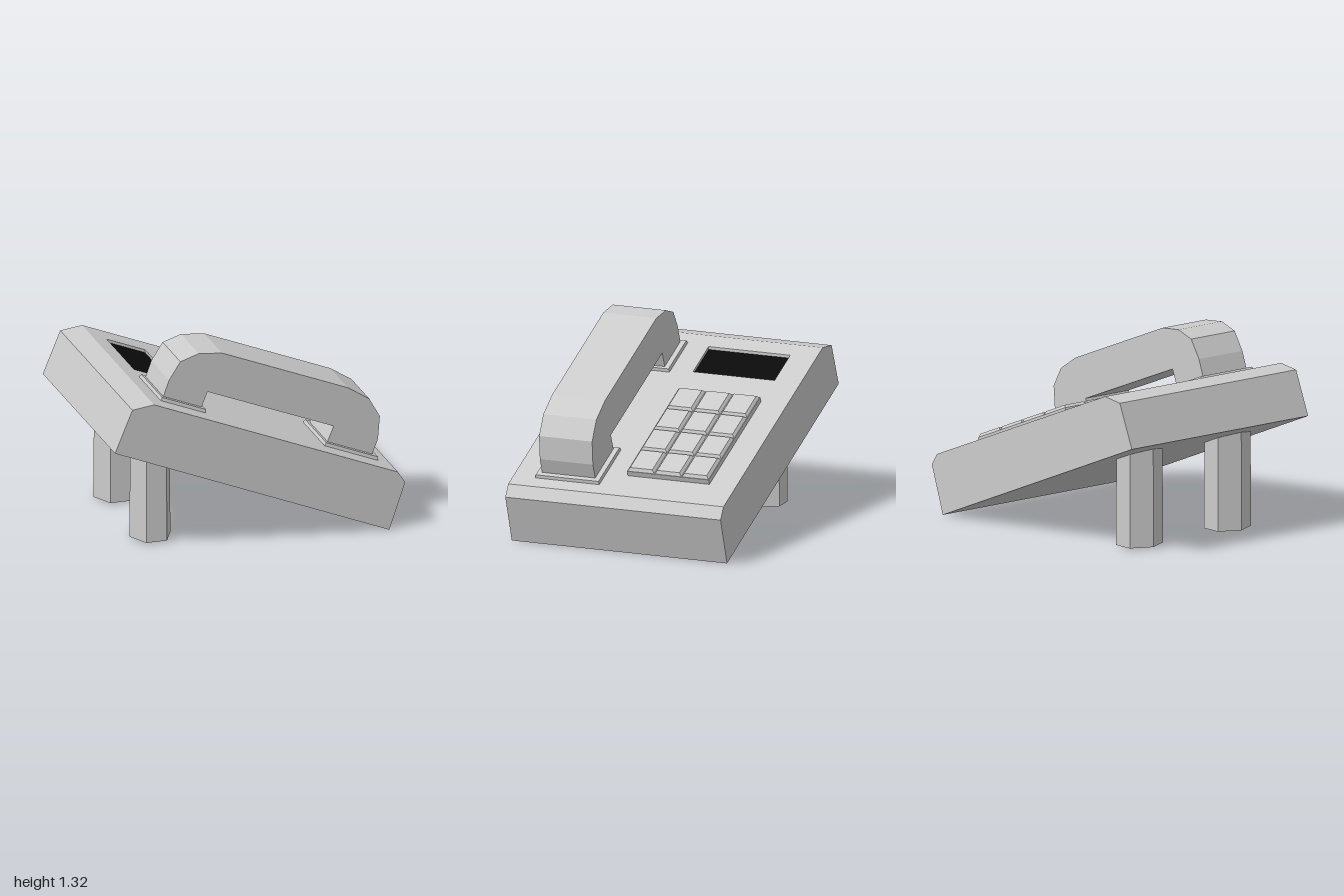
import * as THREE from 'three';

const grey = new THREE.MeshStandardMaterial({ color: 0xcccccc, flatShading: true });
const black = new THREE.MeshStandardMaterial({ color: 0x0a0a0a, flatShading: true });
const TILT = Math.atan(0.4);

// Side profile in x/y, extruded between two z values
function prism(name, points, z0, z1, material = grey) {
  const shape = new THREE.Shape(points.map(([x, y]) => new THREE.Vector2(x, y)));
  const geometry = new THREE.ExtrudeGeometry(shape, { depth: z1 - z0, bevelEnabled: false });
  geometry.translate(0, 0, z0);
  const mesh = new THREE.Mesh(geometry, material);
  mesh.name = name;
  return mesh;
}

// Box standing on y = 0 whose top is drawn in by an inset
function taperedBox(name, w, h, d, inset) {
  const geometry = new THREE.BoxGeometry(w, h, d).translate(0, h / 2, 0);
  const p = geometry.attributes.position;
  for (let i = 0; i < p.count; i++) {
    if (p.getY(i) < h / 2) continue;
    p.setX(i, p.getX(i) - Math.sign(p.getX(i)) * inset);
    p.setZ(i, p.getZ(i) - Math.sign(p.getZ(i)) * inset);
  }
  geometry.computeVertexNormals();
  const mesh = new THREE.Mesh(geometry, grey);
  mesh.name = name;
  return mesh;
}

export function createModel() {
  const phone = new THREE.Group();
  phone.name = 'deskPhone';

  // Sloping body, with a notch in the middle slice for the display
  const start = [[-1, 0.76], [0.89, 0], [1, 0.32], [0.95, 0.398]];
  const end = [[-0.73, 1.07], [-0.88, 1.05]];
  const notch = [[-0.355, 0.92], [-0.355, 0.898], [-0.62, 1.004], [-0.62, 1.026]];
  const body = new THREE.Group();
  body.name = 'body';
  body.add(
    prism('bodyBack', [...start, ...end], -0.765, -0.58),
    prism('bodyMiddle', [...start, ...notch, ...end], -0.58, 0),
    prism('bodyFront', [...start, ...end], 0, 0.765)
  );
  phone.add(body);
  phone.add(prism('display',
    [[-0.62, 0.998], [-0.355, 0.892], [-0.355, 0.9], [-0.62, 1.006]], -0.58, 0, black));

  // Handset: a thick arch lying along the slope
  phone.add(prism('handset', [
    [-0.62, 1.0], [-0.36, 0.89], [-0.3, 1.04], [0.57, 0.695], [0.51, 0.55], [0.82, 0.43],
    [0.875, 0.567], [0.888, 0.727], [0.815, 0.858], [0.67, 0.952], [-0.2, 1.3],
    [-0.36, 1.315], [-0.487, 1.273], [-0.565, 1.152]
  ], 0.195, 0.572));

  // Everything that sits on the slope
  const deck = new THREE.Group();
  deck.name = 'deck';
  deck.position.y = 0.778;
  deck.rotation.z = -TILT;
  phone.add(deck);

  for (const [name, x0, x1] of [['upperCradle', -0.635, -0.325], ['lowerCradle', 0.495, 0.862]]) {
    const plate = taperedBox(name, (x1 - x0) / Math.cos(TILT), 0.022, 0.455, 0.005);
    plate.position.set((x0 + x1) / 2 / Math.cos(TILT), 0, 0.382);
    deck.add(plate);
  }

  // Keypad: base with four by three bevelled keys
  const keypad = new THREE.Group();
  keypad.name = 'keypad';
  keypad.position.set(0.33, 0, -0.288);
  keypad.add(taperedBox('keypadBase', 0.94, 0.036, 0.58, 0));
  for (let col = 0; col < 4; col++) {
    for (let row = 0; row < 3; row++) {
      const key = taperedBox('key', 0.23, 0.02, 0.188, 0.015);
      key.position.set((col - 1.5) * 0.235, 0.036, (row - 1) * 0.193);
      keypad.add(key);
    }
  }
  deck.add(keypad);

  // Two six-sided legs under the high end
  for (const side of [-1, 1]) {
    const leg = new THREE.Mesh(
      new THREE.CylinderGeometry(0.136, 0.141, 0.8, 6).rotateY(Math.PI / 6 * 3), grey);
    leg.name = 'leg';
    leg.scale.z = 1.18;
    leg.position.set(-0.635, 0.41, side * 0.382);
    phone.add(leg);
  }
  return phone;
}
